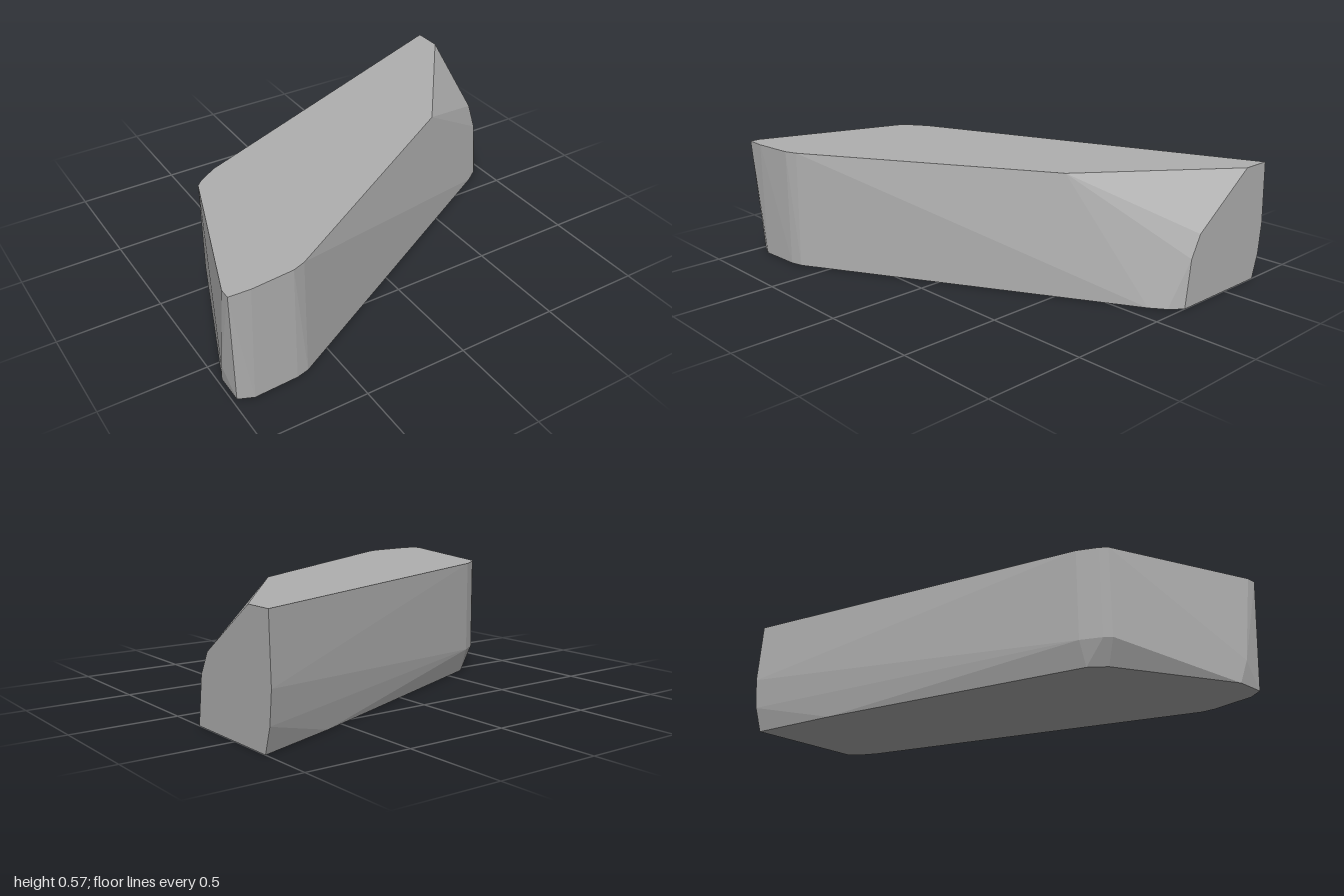
import * as THREE from 'three';
import { ConvexGeometry } from 'three/addons/geometries/ConvexGeometry.js';

const HEIGHT = 0.575;

// Places a ring of [x, z] corners at one height
const ring = (y, corners) => corners.map(([x, z]) => new THREE.Vector3(x, y, z));

export function createModel() {
  const stone = new THREE.MeshStandardMaterial({ color: 0xb0b0b0 });
  stone.name = 'stone grey';

  const points = [
    // flat top, cut away at the front right-hand end
    ...ring(HEIGHT, [
      [-1, 0.77], [-1, 0.72], [-0.76, 0], [-0.73, -0.03], [-0.64, -0.09],
      [1, -0.767], [1, -0.62], [0.49, 0.05], [-0.64, 0.735], [-0.7, 0.757], [-0.9, 0.775],
    ]),
    // end face, where the sloping cut meets the side
    ...ring(0.335, [[1, -0.285]]),
    ...ring(0.23, [[1, -0.23]]),
    // slightly bulging back and narrow end
    ...ring(0.27, [[1, -0.78]]),
    ...ring(0.12, [[1, -0.765], [-0.76, 0], [-0.73, -0.03], [-0.64, -0.09], [-0.995, 0.64]]),
    // flat underside with a bevelled back edge
    ...ring(0, [
      [-0.98, 0.74], [-0.98, 0.6], [-0.71, 0.02], [-0.64, -0.05], [0.6, -0.58],
      [1, -0.73], [1, -0.2], [0.95, -0.14], [0.88, -0.09], [-0.64, 0.745], [-0.7, 0.76], [-0.91, 0.77],
    ]),
  ];

  const slab = new THREE.Mesh(new ConvexGeometry(points), stone);
  slab.name = 'stoneSlab';

  const model = new THREE.Group();
  model.name = 'rock';
  model.add(slab);
  return model;
}
